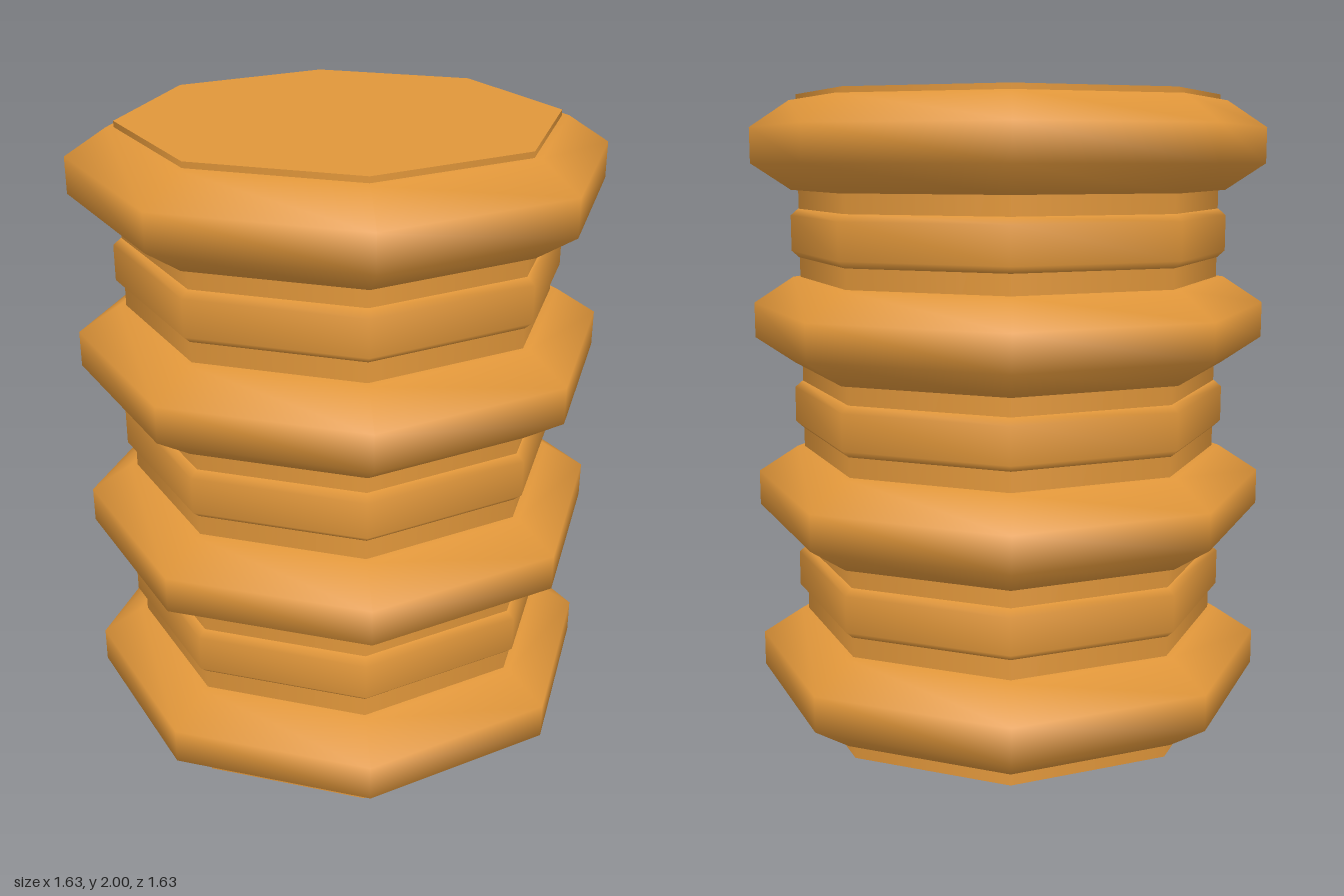
import * as THREE from 'three';

const SIDES = 8;
const PITCH = 0.553; // spacing between repeated rings

export function createModel() {
  const group = new THREE.Group();
  const orange = new THREE.MeshStandardMaterial({ color: 0xe0963a });
  orange.name = 'orange';

  function add(name, geometry, y) {
    const mesh = new THREE.Mesh(geometry, orange);
    mesh.name = name;
    mesh.position.y = y;
    group.add(mesh);
  }

  // Ring with a bevelled rim, turned around the y axis; its inner edge is buried in the core
  function ring(inner, shoulder, outer, halfHeight, halfRim) {
    const profile = [
      [inner, -halfHeight], [shoulder, -halfHeight], [outer, -halfRim],
      [outer, halfRim], [shoulder, halfHeight], [inner, halfHeight],
    ].map(([r, y]) => new THREE.Vector2(r, y));
    return new THREE.LatheGeometry(profile, SIDES);
  }

  // Octagonal core
  add('core', new THREE.CylinderGeometry(0.667, 0.667, 2, SIDES), 1);

  // Four wide ribs
  const wide = ring(0.58, 0.69, 0.817, 0.139, 0.056);
  for (let i = 0; i < 4; i++) add('wideRib' + (i + 1), wide, 0.184 + i * PITCH);

  // Three narrow ribs between them
  const narrow = ring(0.62, 0.669, 0.693, 0.077, 0.056);
  for (let i = 0; i < 3; i++) add('narrowRib' + (i + 1), narrow, 0.462 + i * PITCH);

  return group;
}
